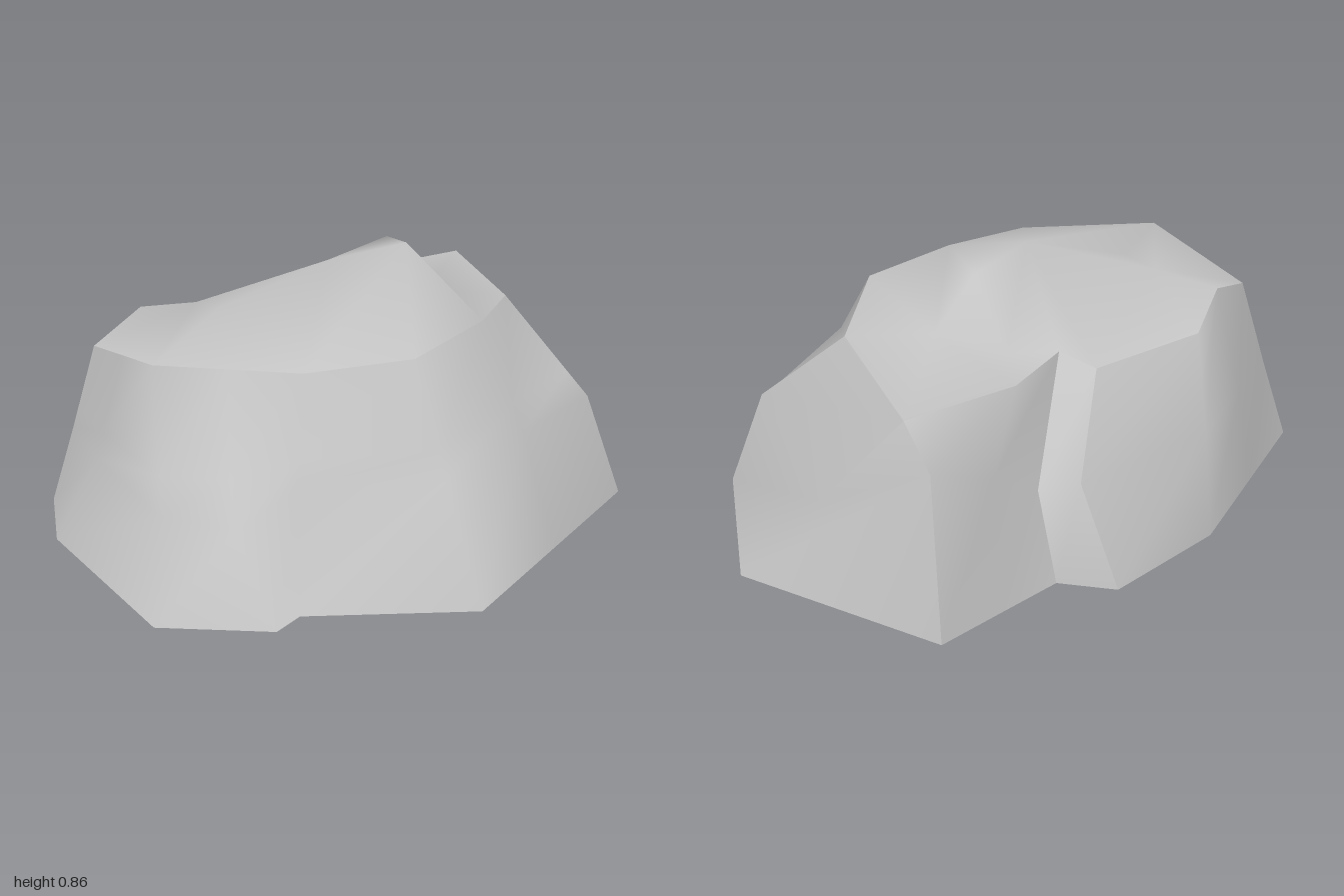
import * as THREE from 'three';

const stone = new THREE.MeshStandardMaterial({ color: 0xc4c4c4, side: THREE.DoubleSide });
stone.name = 'grey stone';

// Each face of the boulder is smooth inside and sharp along its border.
function addFace(group, name, points, index) {
  const geometry = new THREE.BufferGeometry();
  geometry.setAttribute('position', new THREE.Float32BufferAttribute(points.flat(), 3));
  geometry.setIndex(index);
  geometry.computeVertexNormals();
  const mesh = new THREE.Mesh(geometry, stone);
  mesh.name = name;
  group.add(mesh);
}

// Side face lofted between columns of points running from base to rim.
function addSide(group, name, columns) {
  const index = [];
  const rows = columns[0].length;
  const same = (p, q) => p.every((v, k) => v === q[k]);
  for (let i = 0; i < columns.length - 1; i++) {
    for (let j = 0; j < rows - 1; j++) {
      const a = i * rows + j, b = a + rows;
      index.push(a, a + 1, b);
      if (!same(columns[i][j + 1], columns[i + 1][j + 1])) index.push(a + 1, b + 1, b);
    }
  }
  addFace(group, name, columns.flat(), index);
}

// Adds a fourth point to a three-point column, a quarter of the way from middle to rim.
const withShoulder = ([base, middle, top]) =>
  [base, middle, middle.map((v, k) => v + (top[k] - v) * 0.25), top];

export function createModel() {
  const rock = new THREE.Group();
  rock.name = 'rock';

  // Rim of the top, clockwise from the front left shoulder
  const rim = [
    [0.52, 0.63, 0.06], [0.26, 0.67, 0.28], [-0.04, 0.63, 0.34], [-0.4, 0.645, 0.28],
    [-0.76, 0.655, 0], [-0.77, 0.575, -0.41], [-0.57, 0.645, -0.475], [-0.42, 0.56, -0.54],
    [0, 0.575, -0.515], [0.04, 0.595, -0.39], [0.29, 0.605, -0.475], [0.67, 0.613, -0.43],
  ];

  // Sharp corner columns shared by neighbouring sides
  const frontCorner = [[0.73, 0, 0.45], [0.65, 0.34, 0.355], rim[0]];
  const backRightCorner = [[-0.9, 0, -0.54], [-0.835, 0.28, -0.475], rim[5]];
  const notchOuter = [[0.17, 0, -0.815], [0.21, 0.33, -0.68], rim[8]];
  const notchInner = [[0.29, 0, -0.67], [0.29, 0.29, -0.58], rim[9]];
  const backLeftCorner = [[0.74, 0, -0.675], [0.68, 0.5, -0.56], rim[11]];

  // Front wraps round to the right, with a lump low on its right end
  addSide(rock, 'frontSide', [
    withShoulder(frontCorner),
    withShoulder([[0.31, 0, 0.63], [0.29, 0.35, 0.47], rim[1]]),
    withShoulder([[-0.11, 0, 0.81], [-0.08, 0.32, 0.57], rim[2]]),
    withShoulder([[-0.58, 0, 0.54], [-0.5, 0.34, 0.4], rim[3]]),
    [[-0.68, 0, 0.575], [-0.7, 0.25, 0.38], [-0.66, 0.36, 0.28], [-0.58, 0.65, 0.14]],
    [[-0.97, 0, 0.36], [-0.87, 0.28, 0.235], [-0.825, 0.36, 0.135], rim[4]],
    withShoulder([[-1, 0, -0.28], [-0.87, 0.28, -0.22], [-0.765, 0.615, -0.205]]),
    withShoulder(backRightCorner),
  ]);
  addSide(rock, 'backSide', [
    backRightCorner,
    [[-0.58, 0, -0.668], [-0.57, 0.32, -0.6], rim[6]],
    [[-0.25, 0, -0.8], [-0.32, 0.3, -0.69], rim[7]],
    notchOuter,
  ]);
  addSide(rock, 'notchWall', [notchOuter, notchInner]);
  addSide(rock, 'backLeftBlock', [
    notchInner,
    [[0.5, 0, -0.672], [0.46, 0.4, -0.575], rim[10]],
    backLeftCorner,
  ]);
  addSide(rock, 'leftSide', [
    backLeftCorner,
    [[1, 0, -0.02], [0.835, 0.3065, -0.225], rim[11]],
    frontCorner,
  ]);

  // Domed top: rim plus the peak, ridge and saddle points
  const summit = [
    [0.17, 0.86, -0.02], [0.2, 0.83, -0.18], [-0.08, 0.825, -0.1],
    [-0.43, 0.705, -0.19], [0.2, 0.62, -0.33], [0.31, 0.64, -0.12], [-0.45, 0.69, -0.31],
  ];
  addFace(rock, 'top', [...rim, ...summit], [
    1, 0, 17, 1, 17, 12, 17, 13, 12, 2, 1, 12, 3, 2, 12, 3, 12, 14, 12, 13, 14,
    4, 3, 14, 4, 14, 15, 4, 15, 18, 5, 4, 18, 6, 5, 18, 7, 6, 18, 8, 7, 18, 8, 18, 14, 18, 15, 14,
    9, 8, 14, 9, 14, 16, 16, 14, 13, 17, 16, 13, 10, 9, 16, 10, 16, 17, 11, 10, 17, 0, 11, 17,
  ]);

  return rock;
}
